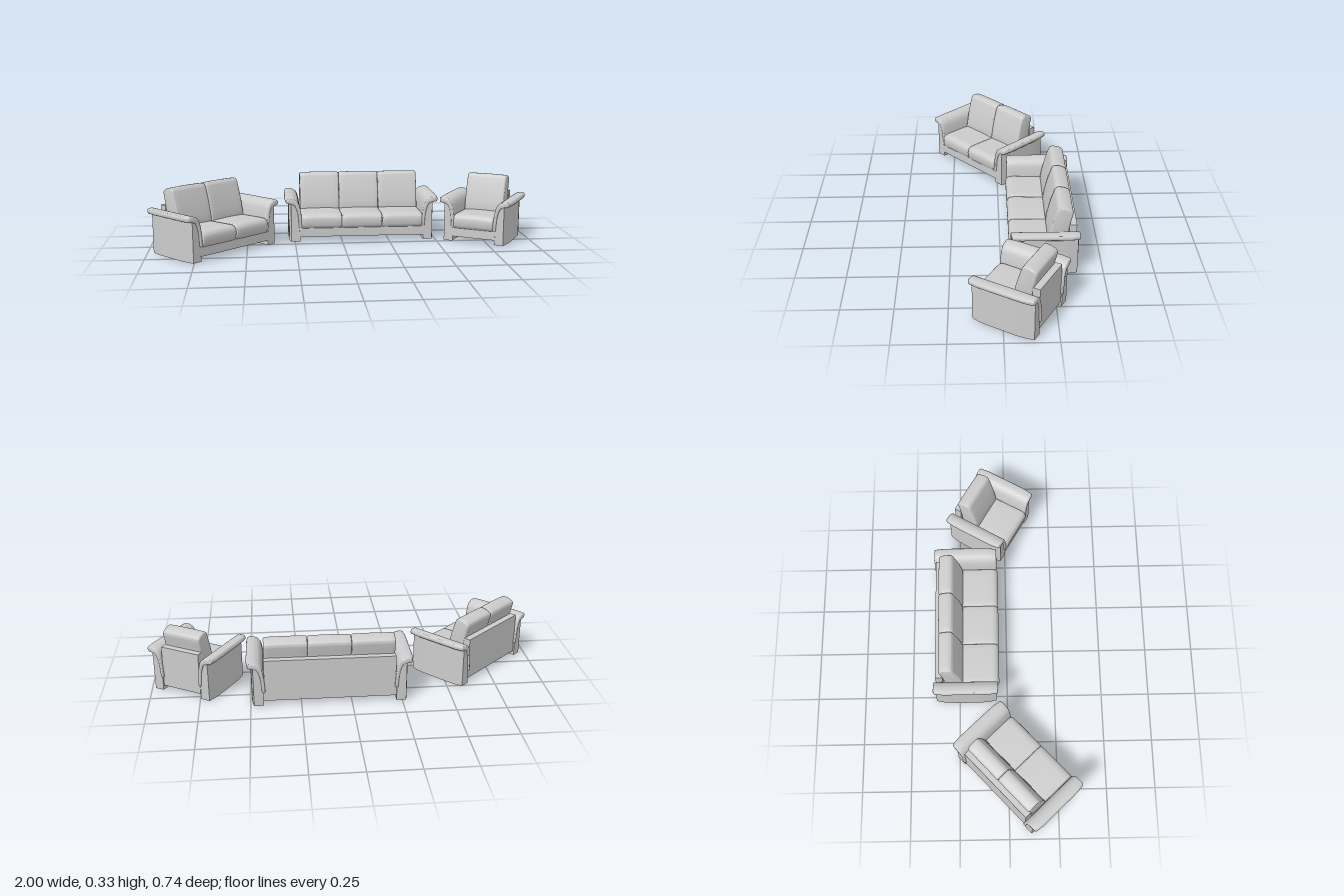
import * as THREE from 'three';
import { mergeVertices, toCreasedNormals } from 'three/addons/utils/BufferGeometryUtils.js';

const material = new THREE.MeshStandardMaterial({ color: 0xcccccc });
const SEAT = 0.215; // width of one seat

// Closed outline whose corners [x, y, radius] are rounded
function roundedShape(corners) {
  const shape = new THREE.Shape();
  const n = corners.length;
  corners.forEach(([x, y, r], i) => {
    const p = new THREE.Vector2(x, y);
    const towards = ([qx, qy]) => {
      const d = new THREE.Vector2(qx, qy).sub(p);
      return d.setLength(Math.min(r, d.length() * 0.48)).add(p);
    };
    const a = towards(corners[(i + n - 1) % n]);
    const b = towards(corners[(i + 1) % n]);
    if (i === 0) shape.moveTo(a.x, a.y);
    else shape.lineTo(a.x, a.y);
    shape.quadraticCurveTo(x, y, b.x, b.y);
  });
  shape.closePath();
  return shape;
}

// Centred extrusion with soft ends
function extrude(shape, length, bevel, steps = 8) {
  const geometry = new THREE.ExtrudeGeometry(shape, {
    depth: length - 2 * bevel, steps, curveSegments: 5,
    bevelEnabled: bevel > 0, bevelSize: bevel, bevelThickness: bevel,
    bevelOffset: -bevel, bevelSegments: 3,
  });
  return geometry.translate(0, 0, bevel - length / 2);
}

// Moves every vertex by a rule, then rebuilds the normals
function finish(geometry, rule) {
  const p = geometry.attributes.position;
  const v = new THREE.Vector3();
  for (let i = 0; rule && i < p.count; i++) {
    rule(v.fromBufferAttribute(p, i));
    p.setXYZ(i, v.x, v.y, v.z);
  }
  geometry.deleteAttribute('uv');
  geometry.deleteAttribute('normal');
  return toCreasedNormals(mergeVertices(geometry, 1e-5), 0.7);
}

function add(parent, name, geometry, x = 0, y = 0, z = 0) {
  const mesh = new THREE.Mesh(geometry, material);
  mesh.name = name;
  mesh.position.set(x, y, z);
  parent.add(mesh);
  return mesh;
}

// Cushion from a side profile of [z, y, radius], with a crowned top
function cushion(profile, crownFrom, crown) {
  const width = SEAT - 0.001;
  const geometry = extrude(roundedShape(profile), width, 0.008);
  geometry.rotateY(-Math.PI / 2);
  return finish(geometry, (v) => {
    const k = 1 - (2 * v.x / width) ** 2;
    if (v.y > crownFrom) v.y += crown * k;
  });
}

const seatGeometry = cushion([
  [-0.12, 0.066, 0.01], [0.155, 0.064, 0.015], [0.171, 0.085, 0.02],
  [0.173, 0.125, 0.025], [0.155, 0.146, 0.03], [0.05, 0.143, 0.04], [-0.12, 0.138, 0.01],
], 0.11, 0.003);

const backGeometry = cushion([
  [-0.11, 0.135, 0.01], [-0.015, 0.135, 0.012], [-0.032, 0.23, 0.05],
  [-0.064, 0.333, 0.02], [-0.105, 0.33, 0.03], [-0.139, 0.313, 0.018], [-0.12, 0.235, 0.03],
], 0.28, 0.002);

// Arm panel, its outer face bowed gently outwards
const panelGeometry = finish(extrude(roundedShape([
  [0.006, 0, 0], [0.066, 0, 0], [0.066, 0.21, 0], [0.04, 0.21, 0.005],
  [0.018, 0.185, 0.01], [0.006, 0.13, 0.02],
]), 0.318, 0), (v) => {
  if (v.x > 0.05) v.x -= 0.012 * (v.z / 0.159) ** 4;
});

// Upholstered pad that flares over the arm and hangs down its inner face
const padGeometry = finish(extrude(roundedShape([
  [0.086, 0.204, 0.012], [0.087, 0.231, 0.013], [0.045, 0.233, 0.025],
  [0.014, 0.212, 0.025], [0.001, 0.155, 0.04], [-0.004, 0.072, 0.008],
  [0.013, 0.072, 0.008], [0.018, 0.15, 0.04], [0.033, 0.193, 0.02], [0.05, 0.201, 0.015],
]), 0.332, 0.007), (v) => {
  // Rounded corners in plan
  if (v.x > 0.06) v.x -= 0.008 * (v.z / 0.166) ** 8;
});

function createArm(name) {
  const arm = new THREE.Group();
  arm.name = name;
  add(arm, 'armPanel', panelGeometry);
  add(arm, 'armPad', padGeometry);
  return arm;
}

function createSofa(name, seats) {
  const sofa = new THREE.Group();
  sofa.name = name;
  const width = seats * SEAT;

  // Raised base and back board between the arms
  add(sofa, 'base', new THREE.BoxGeometry(width + 0.02, 0.055, 0.31), 0, 0.0525, 0.005);
  add(sofa, 'backBoard', new THREE.BoxGeometry(width + 0.002, 0.215, 0.037), 0, 0.1325, -0.1365);

  for (let i = 0; i < seats; i++) {
    const x = (i - (seats - 1) / 2) * SEAT;
    add(sofa, 'seatCushion', seatGeometry, x);
    add(sofa, 'backCushion', backGeometry, x);
  }

  // The arm is symmetric front to back, so a half turn gives the other side
  const left = createArm('leftArm');
  left.position.x = width / 2;
  const right = createArm('rightArm');
  right.position.x = -width / 2;
  right.rotation.y = Math.PI;
  sofa.add(left, right);
  return sofa;
}

export function createModel() {
  const model = new THREE.Group();
  model.name = 'sofaSet';
  const layout = [
    ['twoSeatSofa', 2, -0.665, 0.043, 0.75],
    ['threeSeatSofa', 3, 0.107, -0.213, 0],
    ['armchair', 1, 0.763, -0.08, -0.53],
  ];
  for (const [name, seats, x, z, turn] of layout) {
    const sofa = createSofa(name, seats);
    sofa.position.set(x, 0, z);
    sofa.rotation.y = turn;
    model.add(sofa);
  }
  return model;
}
